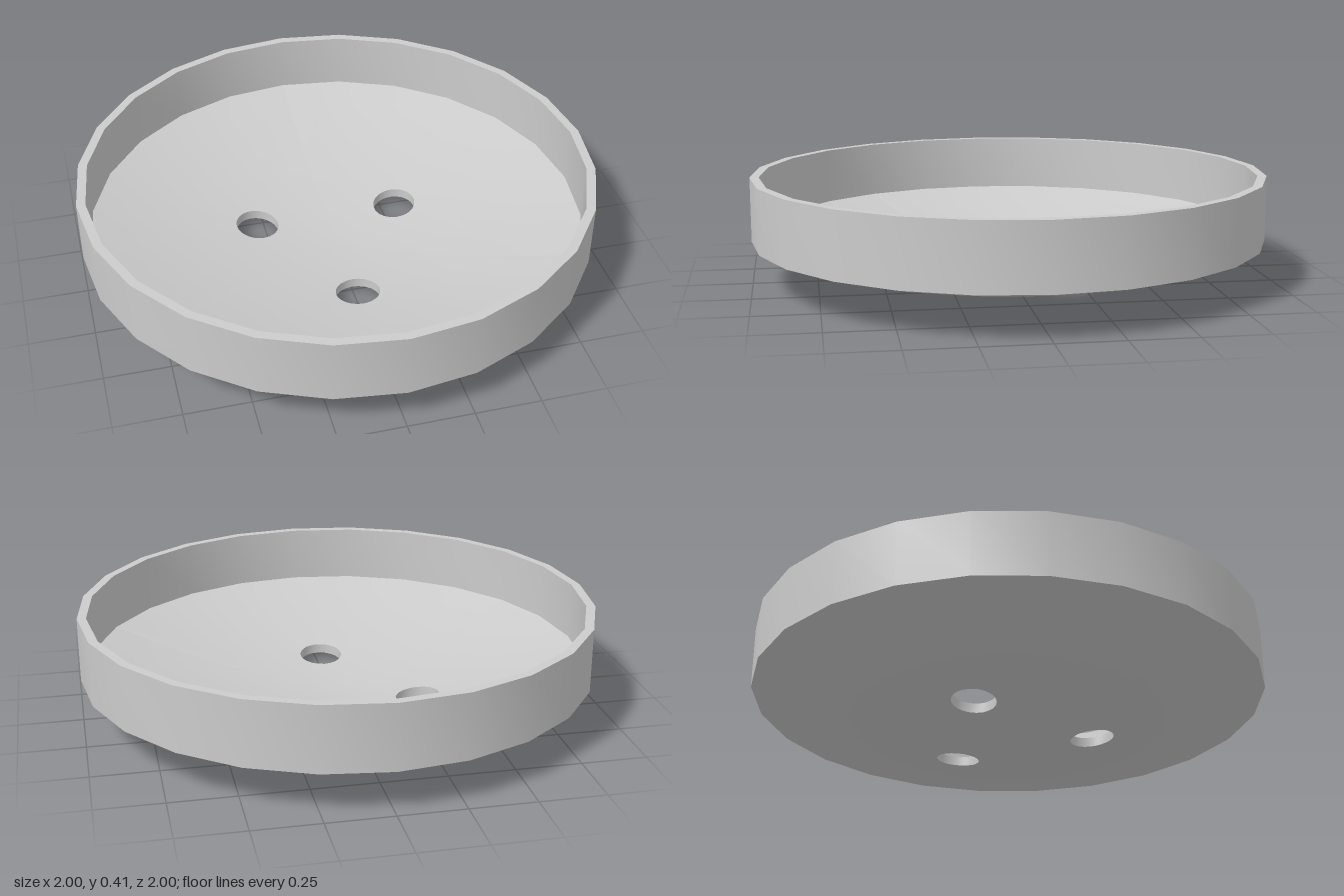
import * as THREE from 'three';
import { toCreasedNormals } from 'three/addons/utils/BufferGeometryUtils.js';

const SIDES = 24, STEP = (2 * Math.PI) / SIDES;
const OUTER = 1, INNER = 0.965, TOP = 0.415, RIM = 0.165, THICK = 0.038;
const HOLE_R = 0.085, HOLE_D = 0.333;

// Radius of a unit 24-gon in direction a
function polygonRadius(a) {
  const m = ((a % STEP) + STEP) % STEP;
  return Math.cos(STEP / 2) / Math.cos(m - STEP / 2);
}

// Height of the dished underside
function dish(x, z) {
  const rho = Math.hypot(x, z) / polygonRadius(Math.atan2(x, z));
  return RIM * Math.pow(rho, 1.8);
}

// Outline of a 120 degree sector of the polygon, around +z
function sectorOutline(radius) {
  const pts = [], half = Math.PI / 3, n = 10, arc = 16;
  const add = (r, a) => pts.push([r * Math.sin(a), r * Math.cos(a)]);
  for (let i = 0; i < n; i++) add((radius * i) / n, -half);
  for (let i = 0; i < arc; i++) {
    const a = -half + (2 * half * i) / arc;
    add(radius * polygonRadius(a), a);
  }
  for (let i = n; i >= 0; i--) add((radius * i) / n, half);
  return pts;
}

// Loops running from the hole edge to the sector outline
function floorLoops(radius, lift) {
  const loops = [], steps = 6;
  for (let i = 0; i <= steps; i++) {
    loops.push(sectorOutline(radius).map(([x, z]) => {
      const dir = Math.atan2(x, z - HOLE_D), t = i / steps;
      const hx = HOLE_R * Math.sin(dir), hz = HOLE_D + HOLE_R * Math.cos(dir);
      const px = hx + (x - hx) * t, pz = hz + (z - hz) * t;
      return [px, dish(px, pz) + lift, pz];
    }));
  }
  return loops;
}

// Skin a list of loops with triangles
function skin(loops) {
  const n = loops[0].length, index = [];
  for (let i = 0; i < loops.length - 1; i++) {
    for (let j = 0; j < n - 1; j++) {
      const a = i * n + j, b = a + n;
      index.push(a, b, a + 1, b, b + 1, a + 1);
    }
  }
  const g = new THREE.BufferGeometry();
  g.setAttribute('position', new THREE.Float32BufferAttribute(loops.flat(2), 3));
  g.setIndex(index);
  g.computeVertexNormals();
  return toCreasedNormals(g, Math.PI / 6);
}

export function createModel() {
  const group = new THREE.Group();
  group.name = 'dish';
  const material = new THREE.MeshStandardMaterial({ color: 0xcccccc });

  // Upright wall with a flat rim
  const profile = [
    [OUTER, RIM], [OUTER, TOP], [INNER, TOP],
    [INNER, dish(0, INNER) + THICK],
  ].map(([r, y]) => new THREE.Vector2(r, y));
  const wall = new THREE.Mesh(
    toCreasedNormals(new THREE.LatheGeometry(profile, SIDES), Math.PI / 6), material);
  wall.name = 'wall';
  group.add(wall);

  // Dished floor: three equal sectors, each with a round hole
  const sector = skin([
    ...floorLoops(OUTER, 0).reverse(),
    ...floorLoops(INNER, THICK),
  ]);
  for (let i = 0; i < 3; i++) {
    const floor = new THREE.Mesh(sector, material);
    floor.name = 'floorSector' + (i + 1);
    floor.rotation.y = (i * 2 * Math.PI) / 3;
    group.add(floor);
  }
  return group;
}
